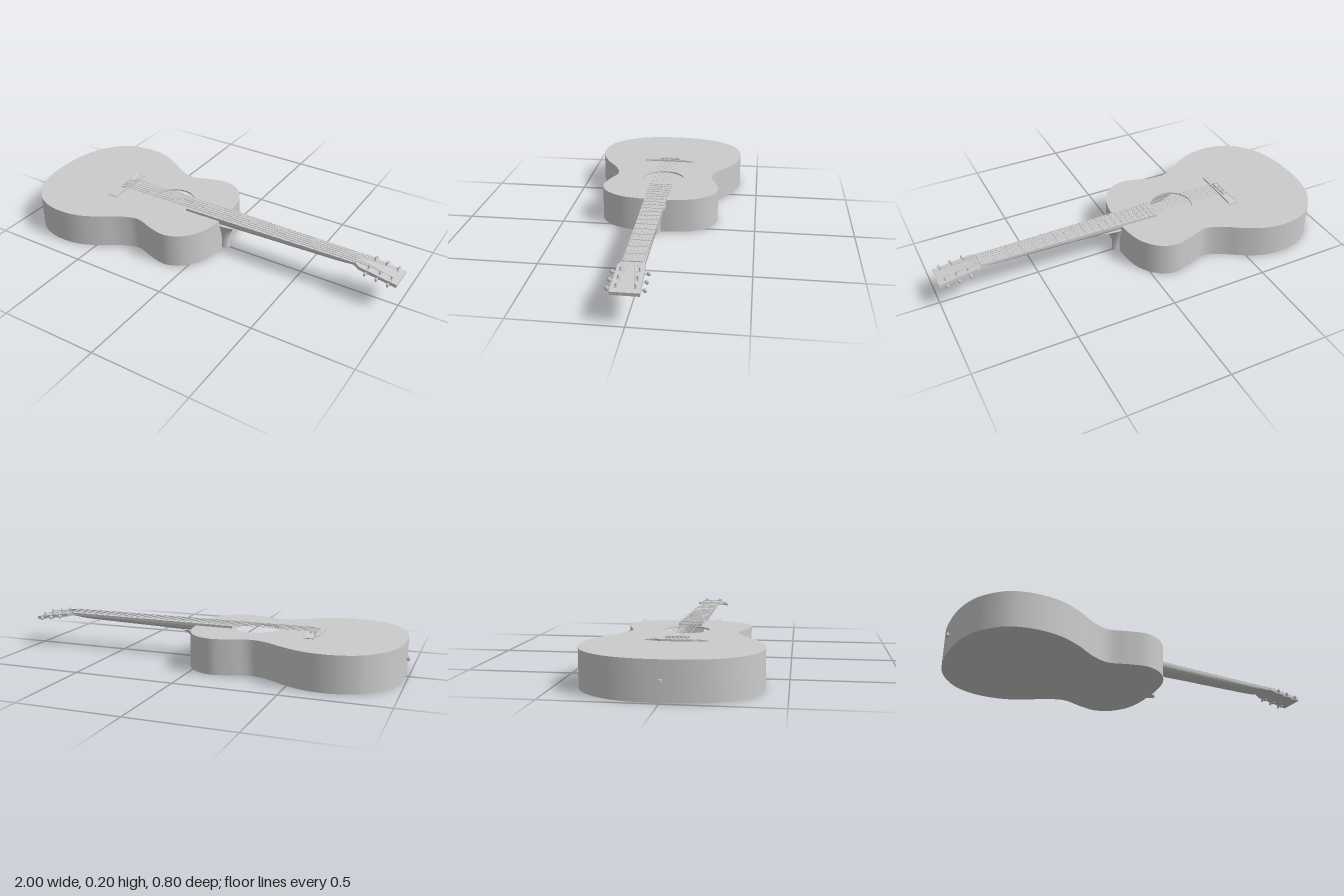
import * as THREE from 'three';
import { toCreasedNormals } from 'three/addons/utils/BufferGeometryUtils.js';

const mat = new THREE.MeshStandardMaterial({ color: 0xcccccc });
const V = (x, y, z) => new THREE.Vector3(x, y, z);

function add(parent, name, geo) {
  const m = new THREE.Mesh(geo, mat);
  m.name = name;
  parent.add(m);
  return m;
}

// Mirror a half outline [x, z] into a closed list of points
function mirrored(half) {
  const a = half.map(([x, z]) => new THREE.Vector2(x, z));
  const b = half.filter(p => p[1] > 0).map(([x, z]) => new THREE.Vector2(x, -z)).reverse();
  return a.concat(b);
}

// Horizontal slab from a plan outline, between heights y0 and y1
function slab(points, y0, y1, hole) {
  const shape = new THREE.Shape(points);
  if (hole) shape.holes.push(new THREE.Path(hole));
  const g = new THREE.ExtrudeGeometry(shape, { depth: y1 - y0, bevelEnabled: false, curveSegments: 32 });
  g.rotateX(-Math.PI / 2).translate(0, y0, 0);
  return toCreasedNormals(g, 0.5);
}

// Skin a row of equal-length closed rings, with end caps
function loft(rings) {
  const n = rings[0].length, idx = [];
  for (let i = 0; i < rings.length - 1; i++)
    for (let j = 0; j < n; j++) {
      const a = i * n + j, c = i * n + (j + 1) % n;
      idx.push(a, a + n, c, c, a + n, c + n);
    }
  const e = (rings.length - 1) * n;
  for (let j = 1; j < n - 1; j++) idx.push(0, j, j + 1, e, e + j + 1, e + j);
  const g = new THREE.BufferGeometry().setFromPoints(rings.flat());
  g.setIndex(idx);
  return toCreasedNormals(g, 0.7);
}

// Straight round rod between two points
function rod(a, b, r, sides = 6) {
  const d = b.clone().sub(a);
  const g = new THREE.CylinderGeometry(r, r, d.length(), sides);
  g.applyQuaternion(new THREE.Quaternion().setFromUnitVectors(V(0, 1, 0), d.clone().normalize()));
  const c = a.clone().add(b).multiplyScalar(0.5);
  return g.translate(c.x, c.y, c.z);
}

const NUT = 0.785, SADDLE = -0.535, TOP = 0.175;
const boardHalf = x => THREE.MathUtils.mapLinear(x, -0.135, NUT, 0.058, 0.044);

export function createModel() {
  const guitar = new THREE.Group();
  guitar.name = 'guitar';

  // Hollow body: back, sides and soundboard with a round hole
  const half = [[-0.985, 0], [-0.975, 0.13], [-0.935, 0.25], [-0.85, 0.35], [-0.77, 0.388], [-0.68, 0.4],
    [-0.58, 0.386], [-0.48, 0.34], [-0.39, 0.283], [-0.3, 0.254], [-0.2, 0.285], [-0.11, 0.303],
    [-0.03, 0.273], [0.03, 0.2], [0.055, 0.11], [0.06, 0]];
  const curve = new THREE.CatmullRomCurve3(mirrored(half).map(p => V(p.x, p.y, 0)), true, 'centripetal');
  const outline = curve.getPoints(140).slice(0, -1).map(p => new THREE.Vector2(p.x, p.y));
  const inner = outline.map(p => new THREE.Vector2((p.x + 0.46) * 0.985 - 0.46, p.y * 0.98));
  const hole = [];
  for (let i = 0; i < 48; i++) {
    const t = i / 48 * Math.PI * 2;
    hole.push(new THREE.Vector2(-0.25 + 0.108 * Math.cos(t), 0.108 * Math.sin(t)));
  }
  const body = new THREE.Group();
  body.name = 'body';
  guitar.add(body);
  add(body, 'back', slab(inner, 0, 0.008));
  add(body, 'sides', slab(outline, 0, TOP, inner));
  add(body, 'soundboard', slab(inner, TOP - 0.008, TOP, hole));

  // Strap button on the tail
  add(body, 'strapButton', rod(V(-0.99, 0.088, 0), V(-0.98, 0.088, 0), 0.006, 16));
  add(body, 'strapButtonCap', rod(V(-1, 0.088, 0), V(-0.99, 0.088, 0), 0.011, 16));

  // Bridge with thin wing tips and a belly, saddle and pins
  const bridge = new THREE.Group();
  bridge.name = 'bridge';
  guitar.add(bridge);
  const plan = [[-0.522, 0.14], [-0.522, 0.1], [-0.522, 0.07], [-0.522, -0.07], [-0.522, -0.1], [-0.522, -0.14],
    [-0.57, -0.14], [-0.57, -0.1], [-0.583, -0.07], [-0.583, 0.07], [-0.57, 0.1], [-0.57, 0.14]];
  const base = slab(plan.map(p => new THREE.Vector2(...p)), TOP - 0.001, 0.184);
  const bp = base.attributes.position;
  for (let i = 0; i < bp.count; i++)
    if (Math.abs(bp.getZ(i)) > 0.13 && bp.getY(i) > TOP) bp.setY(i, 0.179);
  add(bridge, 'bridgeBase', toCreasedNormals(base, 0.3));
  add(bridge, 'saddle', new THREE.BoxGeometry(0.006, 0.012, 0.11).translate(SADDLE, 0.185, 0));

  // Fretboard tapering toward the nut
  const board = new THREE.BoxGeometry(NUT + 0.135, 0.013, 2).translate((NUT - 0.135) / 2, 0.1805, 0);
  const fp = board.attributes.position;
  for (let i = 0; i < fp.count; i++) fp.setZ(i, fp.getZ(i) * boardHalf(fp.getX(i)));
  add(guitar, 'fretboard', board);
  add(guitar, 'nut', new THREE.BoxGeometry(0.008, 0.018, 0.088).translate(NUT, 0.1825, 0));
  for (let n = 1; n <= 20; n++) {
    const x = NUT - (NUT - SADDLE) * (1 - 2 ** (-n / 12)), w = boardHalf(x);
    add(guitar, 'fret', new THREE.BoxGeometry(0.004, 0.003, 2 * w).translate(x, 0.188, 0));
  }
  // Position markers
  for (const n of [3, 5, 7, 9, 12, 15, 17]) {
    const x = NUT - (NUT - SADDLE) * (1 - (2 ** (-n / 12) + 2 ** (-(n - 1) / 12)) / 2);
    for (const z of n === 12 ? [-0.022, 0.022] : [0])
      add(guitar, 'fretMarker', new THREE.CylinderGeometry(0.006, 0.006, 0.001, 16).translate(x, 0.1871, z));
  }

  // Neck with a D-shaped section
  const arc = f => Array.from({ length: 17 }, (_, j) => f(-Math.cos(j / 16 * Math.PI), Math.sin(j / 16 * Math.PI) ** 0.8));
  const neck = [[0.05, 0.139], [0.17, 0.14], [0.3, 0.145], [0.5, 0.15], [0.68, 0.155], [0.74, 0.16], [0.785, 0.17], [0.81, 0.174]];
  add(guitar, 'neck', loft(neck.map(([x, y]) =>
    arc((c, s) => V(x, 0.176 - (0.176 - y) * s, c * boardHalf(x))))));

  // Heel flaring up into the neck: height, front edge, half width
  const heel = [[0, 0.092, 0.025], [0.04, 0.089, 0.025], [0.07, 0.092, 0.029], [0.095, 0.1, 0.036],
    [0.115, 0.112, 0.042], [0.13, 0.13, 0.047], [0.14, 0.155, 0.051], [0.145, 0.19, 0.053]];
  add(guitar, 'heel', loft(heel.map(([y, x, w]) => arc((c, s) => V(0.045 + (x - 0.045) * s, y, c * w)))));

  // Headstock, tilted back, with its tuners
  const head = new THREE.Group();
  head.name = 'headstock';
  head.position.set(NUT, 0.187, 0);
  head.rotation.z = -0.15;
  guitar.add(head);
  const headHalf = [[-0.005, 0.044], [0.008, 0.047], [0.025, 0.059], [0.214, 0.063]];
  add(head, 'headPlate', slab(mirrored(headHalf), -0.016, 0));
  const posts = [0.065, 0.122, 0.178];
  for (const s of [-1, 1])
    for (const x of posts) {
      const z = s * 0.04;
      add(head, 'tunerWasher', new THREE.CylinderGeometry(0.008, 0.008, 0.003, 12).translate(x, 0.001, z));
      add(head, 'tunerPost', new THREE.CylinderGeometry(0.004, 0.004, 0.018, 10).translate(x, 0.009, z));
      add(head, 'tunerHousing', new THREE.BoxGeometry(0.016, 0.006, 0.022).translate(x, -0.017, s * 0.05));
      add(head, 'tunerShaft', rod(V(x, -0.011, s * 0.05), V(x, -0.011, s * 0.076), 0.003, 8));
      const key = new THREE.SphereGeometry(1, 12, 8).scale(0.007, 0.011, 0.009);
      add(head, 'tunerKey', key.translate(x, -0.011, s * 0.077));
    }
  head.updateMatrix();

  // Strings from pins over saddle and nut to the posts
  for (let i = 0; i < 6; i++) {
    const k = (i - 2.5) / 2.5, s = Math.sign(k), r = 0.0009 + 0.00015 * i;
    add(bridge, 'bridgePin', new THREE.SphereGeometry(0.005, 10, 8).translate(-0.557, 0.186, k * 0.046));
    const post = posts[i < 3 ? i : 5 - i];
    const path = [V(-0.557, 0.184, k * 0.046), V(SADDLE, 0.192, k * 0.046), V(NUT, 0.192, k * 0.036),
      V(post, 0.009, s * 0.036).applyMatrix4(head.matrix)];
    for (let j = 0; j < 3; j++) add(guitar, 'string', rod(path[j], path[j + 1], r, 5));
  }
  return guitar;
}
